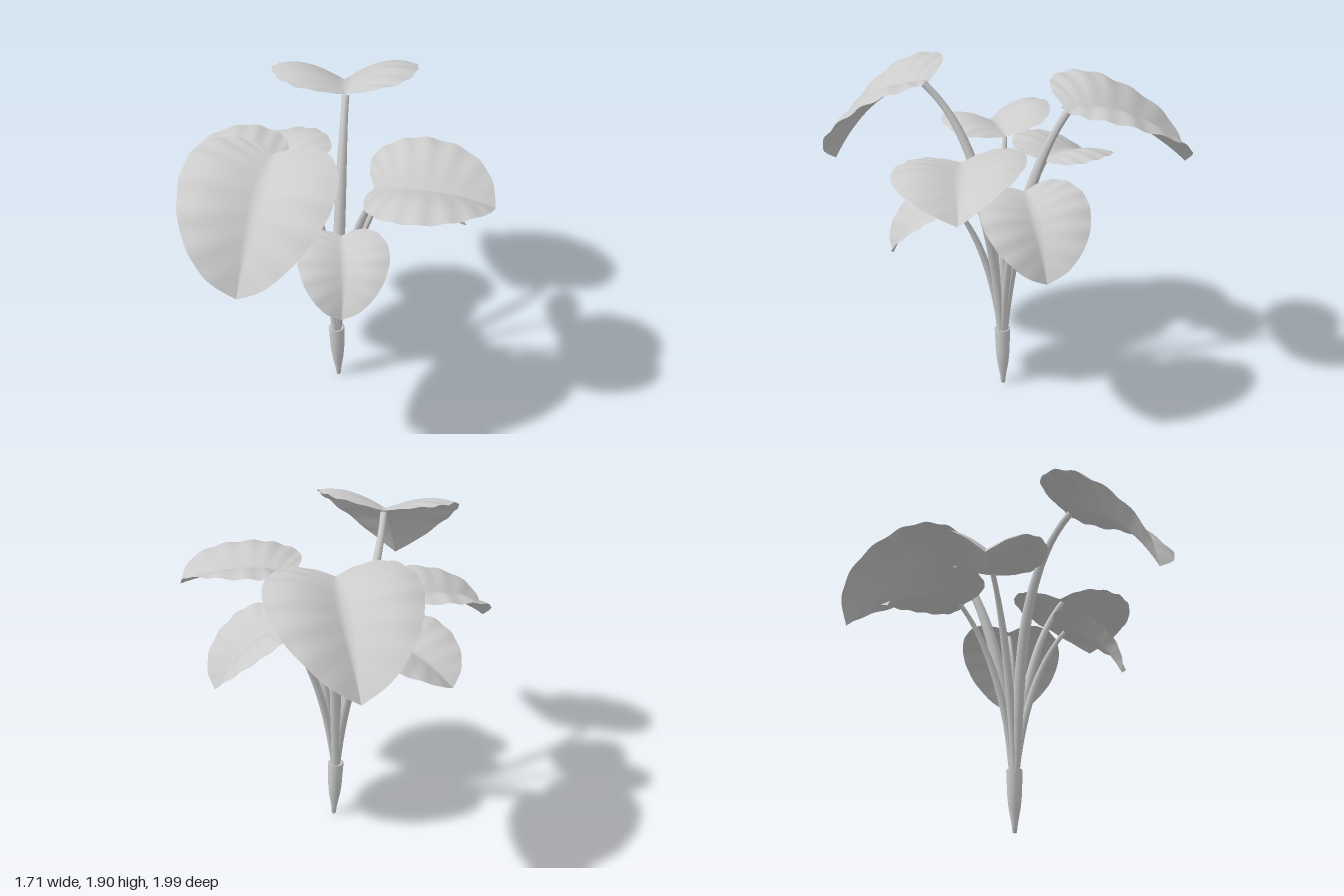
import * as THREE from 'three';
import { mergeVertices } from 'three/addons/utils/BufferGeometryUtils.js';

const V = (x, y, z) => new THREE.Vector3(x, y, z);
const material = new THREE.MeshStandardMaterial({ color: 0xcccccc, side: THREE.DoubleSide });

// Half of the heart outline: x across (1 = half width), y along (0 = notch, 1 = tip)
const outline = new THREE.SplineCurve([
  [0, 0], [0.3, -0.05], [0.68, -0.02], [0.94, 0.15], [1, 0.4], [0.82, 0.68], [0.43, 0.9], [0, 1],
].map(([x, y]) => new THREE.Vector2(x, y)));

// Point on a quadratic curve, also valid a little before its start
function quadratic(a, p, m, t) {
  const b = 1 - a;
  return V(0, 0, 0).addScaledVector(p, b * b).addScaledVector(m, 2 * a * b).addScaledVector(t, a * a);
}

// Heart-shaped blade: rows run from the midrib out to the outline along the veins
function leafGeometry({ joint, bend, tip, half, lift, roll }) {
  const rows = 56, cols = 20, pos = [], index = [];
  const side = V(tip.z - joint.z, 0, joint.x - tip.x).normalize();
  side.y = roll;
  side.normalize();
  for (let i = 0; i <= rows; i++) {
    const t = i / rows, edge = outline.getPoint(t), root = Math.pow(t, 1.7);
    for (let j = 0; j <= cols; j++) {
      const v = (j / cols) * 2 - 1, q = Math.abs(v);
      const along = root + (edge.y - root) * q + 0.05 * Math.sin(Math.PI * q) * t * (1 - t);
      const across = edge.x * v, w = Math.abs(across);
      const p = quadratic(along, joint, bend, tip);
      const tangent = quadratic(along + 0.01, joint, bend, tip).sub(p).normalize();
      const up = tangent.cross(side).normalize();
      // sides rise from the midrib, curl down at the rim and lobes, and swell between veins
      const lobe = 0.6 + 0.4 * THREE.MathUtils.smoothstep(along, -0.05, 0.35);
      const height = lift * lobe * Math.sin(2.2 * w) + 0.016 * half * w * Math.cos(t * Math.PI * 18);
      p.addScaledVector(side, across * half).addScaledVector(up, height);
      pos.push(p.x, p.y, p.z);
      if (i < rows && j < cols) {
        const a = i * (cols + 1) + j, b = a + cols + 1;
        index.push(a, b, a + 1, b, b + 1, a + 1);
      }
    }
  }
  const g = new THREE.BufferGeometry();
  g.setAttribute('position', new THREE.Float32BufferAttribute(pos, 3));
  g.setIndex(index);
  const merged = mergeVertices(g, 1e-5);
  merged.computeVertexNormals();
  return merged;
}

// Stalk that rises from the sheath, then leans outward to run in under the leaf
function stalkGeometry({ joint, bend, tip, r, bow = V(0, 0, 0) }) {
  const out = V(joint.x - 0.05, 0, joint.z - 0.05).normalize().multiplyScalar(0.011);
  const start = V(0.049 + out.x, 0.32, 0.047 + out.z);
  const end = quadratic(0.05, joint, bend, tip).add(V(0, -r * 0.6, 0));
  const span = end.clone().sub(start);
  const at = (lean, rise) => start.clone().add(V(span.x * lean, span.y * rise, span.z * lean));
  const curve = new THREE.CubicBezierCurve3(start, at(0.08, 0.4), at(0.42, 0.78).add(bow), end);
  const rows = 24, sides = 10;
  const g = new THREE.TubeGeometry(curve, rows, 1, sides);
  const pos = g.attributes.position, p = V(0, 0, 0);
  for (let i = 0; i < pos.count; i++) {
    const t = Math.floor(i / (sides + 1)) / rows, c = curve.getPointAt(t);
    const radius = r * (0.6 + 0.35 * Math.sin(Math.PI * Math.min(1, t * 1.1)));
    p.fromBufferAttribute(pos, i).sub(c).multiplyScalar(radius).add(c);
    pos.setXYZ(i, p.x, p.y, p.z);
  }
  g.computeVertexNormals();
  return g;
}

const leaves = [
  { name: 'frontRightLargeLeaf', joint: V(-0.34, 1.83, 0.36), bend: V(-0.475, 1.77, 0.68), tip: V(-0.6, 1.3, 0.88), half: 0.42, lift: 0.09, roll: 0.03, r: 0.034, bow: V(-0.09, 0, -0.12) },
  { name: 'backLargeLeaf', joint: V(0.14, 1.78, -0.28), bend: V(0.195, 1.77, -0.62), tip: V(0.22, 1.4, -0.99), half: 0.42, lift: 0.105, roll: 0, r: 0.036 },
  { name: 'rightLeaf', joint: V(-0.24, 1.47, -0.06), bend: V(-0.58, 1.51, -0.07), tip: V(-0.81, 1.3, -0.07), half: 0.32, lift: 0.09, roll: -0.1, r: 0.026 },
  { name: 'backRightLeaf', joint: V(-0.1, 1.36, -0.24), bend: V(-0.26, 1.39, -0.46), tip: V(-0.41, 1.2, -0.65), half: 0.29, lift: 0.055, roll: 0.04, r: 0.023 },
  { name: 'leftLeaf', joint: V(0.35, 1.39, 0), bend: V(0.63, 1.31, 0), tip: V(0.77, 1.03, 0), half: 0.3, lift: 0.06, roll: 0.04, r: 0.024 },
  { name: 'frontLeftLeaf', joint: V(0.21, 1.54, 0.32), bend: V(0.55, 1.59, 0.41), tip: V(0.84, 1.47, 0.5), half: 0.36, lift: 0.08, roll: 0.13, r: 0.027 },
  { name: 'frontLeaf', joint: V(0.03, 1.24, 0.32), bend: V(0.02, 1.2, 0.56), tip: V(-0.02, 0.93, 0.67), half: 0.25, lift: 0.05, roll: 0.03, r: 0.022 },
];

export function createModel() {
  const group = new THREE.Group();
  group.name = 'plant';
  const add = (geometry, name) => {
    const mesh = new THREE.Mesh(geometry, material);
    mesh.name = name;
    group.add(mesh);
    return mesh;
  };

  // Tapered sheath at the foot
  const profile = [[0, 0], [0.012, 0], [0.018, 0.05], [0.034, 0.14], [0.041, 0.21], [0.047, 0.365], [0.038, 0.365], [0, 0.355]];
  const sheath = add(new THREE.LatheGeometry(profile.map(([x, y]) => new THREE.Vector2(x, y)), 14), 'sheath');
  sheath.position.set(0.062, 0, 0.045);
  sheath.rotation.z = 0.04;

  // Each leaf with the stalk that carries it
  leaves.forEach((leaf) => {
    add(stalkGeometry(leaf), leaf.name.replace('Leaf', 'Stalk'));
    add(leafGeometry(leaf), leaf.name);
  });
  return group;
}
